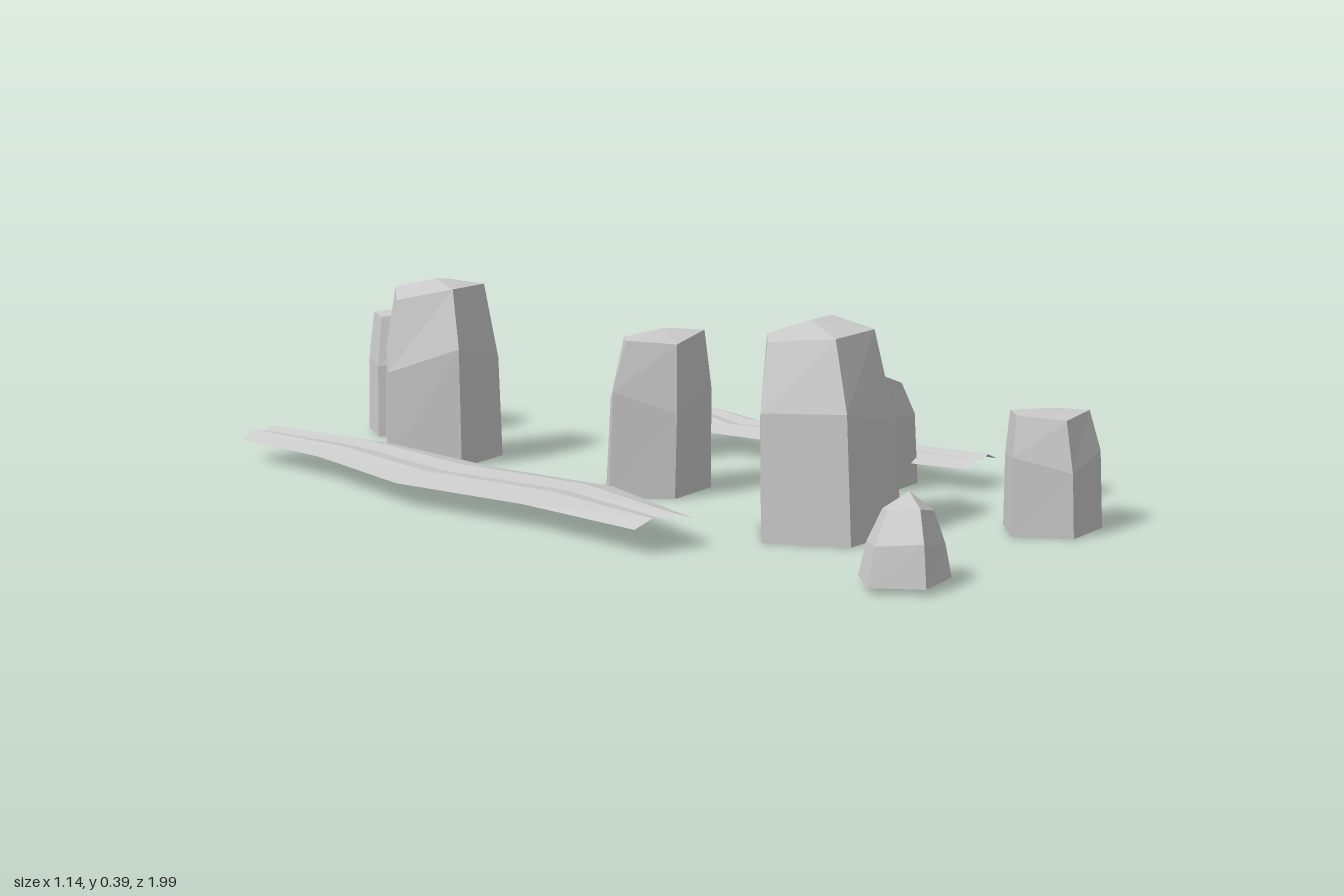
import * as THREE from 'three';

const stone = new THREE.MeshStandardMaterial({ color: 0xcacaca, flatShading: true, side: THREE.DoubleSide });
stone.name = 'stone grey';

function facetMesh(name, points) {
  const geo = new THREE.BufferGeometry().setFromPoints(points);
  geo.computeVertexNormals();
  const mesh = new THREE.Mesh(geo, stone);
  mesh.name = name;
  return mesh;
}

// Ring profiles: [height share, scale, lean share, uneven height share]
const profiles = {
  tall: [[0, 1, 0, 0], [0.58, 0.96, 0.4, 0.07], [0.95, 0.76, 1, 0.02]],
  block: [[0, 1, 0, 0], [0.6, 0.96, 0.3, 0.07], [0.97, 0.8, 1, 0.02]],
  pebble: [[0, 1, 0, 0], [0.45, 0.84, 0.3, 0.06], [0.82, 0.55, 1, 0.05]],
};

// Five-sided boulder, open underneath: centre and radii, turned by degrees, lofted to a low peak
function boulder(name, profile, [x, z, rx, rz, turn, top], [leanX, leanZ] = [0, 0], slope = 0) {
  const sides = 5;
  const base = profile === 'pebble' ? 0.01 : 0;
  const loops = profiles[profile].map(([h, scale, lean, uneven]) => Array.from({ length: sides }, (_, i) => {
    const a = THREE.MathUtils.degToRad(turn + i * 360 / sides);
    const dx = Math.cos(a) * rx * scale;
    const dz = Math.sin(a) * rz * scale;
    const tilt = h > 0.7 ? dx * slope : 0;
    const height = (top - base) * (h + uneven * Math.sin(i * 2.4 + turn));
    return new THREE.Vector3(x + dx + leanX * lean, base + height + tilt, z + dz + leanZ * lean);
  }));
  const high = loops[2];
  const apex = new THREE.Vector3(x + leanX * 1.5, top, z + leanZ * 1.5);
  const tris = [];
  for (let i = 0; i < sides; i++) {
    const j = (i + 1) % sides;
    for (let r = 0; r < 2; r++) {
      const a = loops[r], b = loops[r + 1];
      tris.push(a[j], a[i], b[i], a[j], b[i], b[j]);
    }
    tris.push(apex, high[j], high[i]);
  }
  return facetMesh(name, tris);
}

// Thin strip with two shallow ridges; each row is [left x, right x, z, skew in z]
function ridgeStrip(name, rows) {
  const section = [[0, 0.045], [0.3, 0.061], [0.5, 0.056], [0.68, 0.064], [1, 0.05]];
  const grid = rows.map(([left, right, z, skew = 0]) => section.map(([t, y]) =>
    new THREE.Vector3(THREE.MathUtils.lerp(left, right, t), y, z + skew * t)));
  const tris = [];
  for (let r = 0; r < grid.length - 1; r++) {
    for (let c = 0; c < section.length - 1; c++) {
      const a = grid[r][c], b = grid[r][c + 1], d = grid[r + 1][c], e = grid[r + 1][c + 1];
      tris.push(a, d, e, a, e, b);
    }
  }
  return facetMesh(name, tris);
}

export function createModel() {
  const group = new THREE.Group();
  group.name = 'rockField';

  // Large standing boulders
  group.add(
    boulder('backBoulder', 'block', [0.005, -0.9, 0.118, 0.107, 24, 0.285], [0.005, -0.015]),
    boulder('tallBackBoulder', 'tall', [-0.185, -0.55, 0.145, 0.125, 31, 0.388], [0.02, -0.03], 0.1),
    boulder('middleBoulder', 'tall', [-0.095, 0.04, 0.125, 0.102, 34, 0.328], [0.01, 0.01], 0.08),
    boulder('tallFrontBoulder', 'tall', [-0.15, 0.555, 0.15, 0.133, 42, 0.384], [0.01, -0.035], 0.12),
  );

  // Lower boulders
  group.add(
    boulder('lowBoulder', 'block', [0.195, -0.245, 0.095, 0.08, 30, 0.21]),
    boulder('slantedBoulder', 'tall', [0.252, 0.295, 0.12, 0.098, 38, 0.242], [-0.02, 0.005], -0.3),
    boulder('frontBoulder', 'block', [0.172, 0.82, 0.106, 0.09, 40, 0.221], [0.005, -0.015]),
  );

  // Small stones
  group.add(
    boulder('smallBackStone', 'pebble', [0.51, -0.61, 0.065, 0.072, 50, 0.137], [-0.005, 0.01]),
    boulder('smallMiddleStone', 'pebble', [0.495, 0, 0.066, 0.07, 0, 0.155], [0.005, 0.01]),
    boulder('smallFrontStone', 'pebble', [0.465, 0.64, 0.068, 0.05, 28, 0.13], [0.01, 0]),
    boulder('cornerStone', 'pebble', [-0.365, 0.928, 0.087, 0.077, 36, 0.153], [0.015, -0.005]),
  );

  // Long flat ridges on either side
  group.add(
    ridgeStrip('rightRidge', [
      [-0.505, -0.38, -0.83, -0.015], [-0.51, -0.32, -0.53], [-0.57, -0.34, -0.18],
      [-0.525, -0.305, 0.15], [-0.53, -0.405, 0.46, 0.02],
    ]),
    ridgeStrip('leftRidge', [
      [0.4, 0.51, -0.41, 0.035], [0.29, 0.46, -0.19], [0.32, 0.52, 0.07],
      [0.3, 0.47, 0.29], [0.35, 0.47, 0.485, -0.025],
    ]),
  );
  return group;
}
